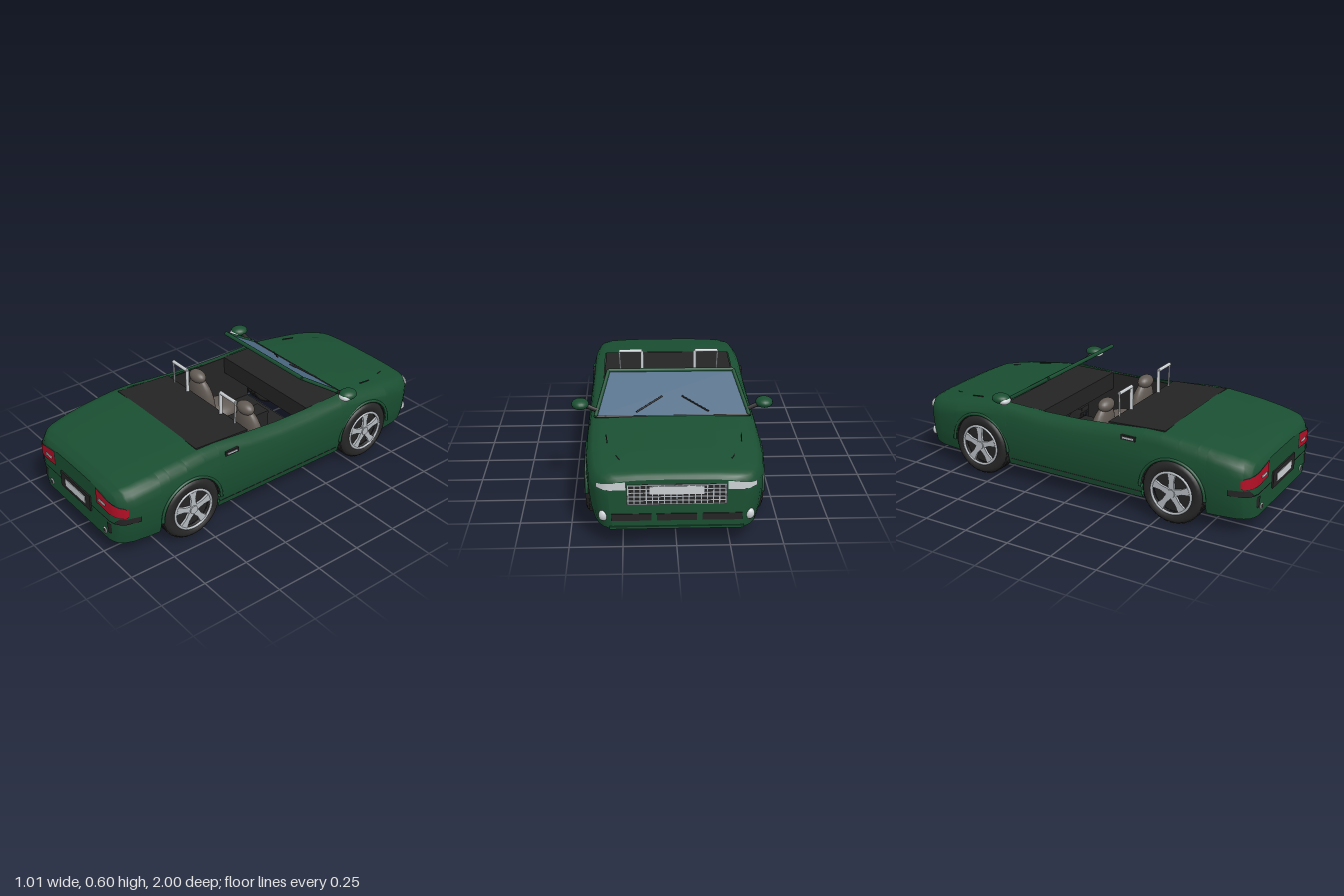
import * as THREE from 'three';

const mat = (name, color, side = THREE.FrontSide) => {
  const m = new THREE.MeshStandardMaterial({ color, side });
  m.name = name;
  return m;
};
// piecewise linear lookup in a table of [key, value]
const at = (table, k) => {
  let i = 1;
  while (i < table.length - 1 && table[i][0] < k) i++;
  const [a, b] = [table[i - 1], table[i]];
  return THREE.MathUtils.clamp((k - a[0]) / (b[0] - a[0]), 0, 1) * (b[1] - a[1]) + a[1];
};
const NOSE = -.993, TAIL = .985, BASE = .09;
const topY = [[NOSE, .335], [-.985, .35], [-.95, .364], [-.8, .391], [-.6, .418], [-.45, .435], [-.2, .425], [0, .427], [.2, .44],
  [.4, .457], [.5, .457], [.7, .438], [.85, .416], [.93, .4], [.97, .375], [TAIL, .355]];
const halfW = [[NOSE, .315], [-.985, .34], [-.965, .366], [-.93, .39], [-.88, .408], [-.75, .424], [-.5, .43], [.6, .43], [.8, .42],
  [.9, .405], [.94, .388], [.965, .365], [.978, .34], [TAIL, .31]];
const sideX = [[.09, .93], [.16, .975], [.25, 1], [.32, 1], [.36, .985], [.4, .965], [.45, .94]];
const WHEEL_Z = [-.59, .58], WHEEL_Y = .168, ARCH = .175;
const bodyX = (z, y) => at(halfW, z) * at(sideX, y);

function bufferGeo(pos, idx) {
  const g = new THREE.BufferGeometry();
  g.setAttribute('position', new THREE.Float32BufferAttribute(pos, 3));
  g.setIndex(idx);
  g.computeVertexNormals();
  return g;
}

export function createModel() {
  const green = mat('green paint', 0x1a4f32, THREE.DoubleSide);
  const black = mat('black trim', 0x242424, THREE.DoubleSide);
  const rubber = mat('tyre rubber', 0x272727);
  const glass = mat('glass', 0x4c6a85, THREE.DoubleSide);
  const red = mat('red lens', 0xb40f26, THREE.DoubleSide);
  const pale = mat('pale grey', 0xcdd2d5, THREE.DoubleSide);
  const alloy = mat('alloy', 0xb4babf, THREE.DoubleSide);
  const seatMat = mat('seat fabric', 0x625a54);
  const car = new THREE.Group();
  car.name = 'convertibleCar';

  const add = (name, geo, m, x = 0, y = 0, z = 0, parent = car) => {
    const mesh = new THREE.Mesh(geo, m);
    mesh.name = name;
    mesh.position.set(x, y, z);
    parent.add(mesh);
    return mesh;
  };
  const box = (name, m, w, h, d, x, y, z, parent) => add(name, new THREE.BoxGeometry(w, h, d), m, x, y, z, parent);
  const bar = (name, m, a, b, r) => {
    const p = new THREE.Vector3(...a), q = new THREE.Vector3(...b), d = q.clone().sub(p);
    const mesh = add(name, new THREE.CylinderGeometry(r, r, d.length(), 8), m);
    mesh.position.copy(p.add(q).multiplyScalar(.5));
    mesh.quaternion.setFromUnitVectors(new THREE.Vector3(0, 1, 0), d.normalize());
    return mesh;
  };
  // thin strip following the bodywork: rows of [x, z, bottom, top], placed on side s
  const strip = (name, m, s, rows) => {
    const pos = [], idx = [];
    rows.forEach(([x, z, b, t], i) => {
      pos.push(s * x, b, z, s * x, t, z);
      if (i) idx.push(2 * i - 2, 2 * i, 2 * i - 1, 2 * i, 2 * i + 1, 2 * i - 1);
    });
    return add(name, bufferGeo(pos, idx), m);
  };

  // body shell: cross-sections along z, raised over the wheel arches
  const section = z => {
    let yb = BASE;
    for (const c of WHEEL_Z) if (Math.abs(z - c) < ARCH) yb = WHEEL_Y - .003 + Math.sqrt(ARCH ** 2 - (z - c) ** 2);
    const w = at(halfW, z), yT = at(topY, z), half = [];
    for (let j = 0; j < 8; j++) {
      const y = yb + (yT - .06 - yb) * j / 7;
      half.push([bodyX(z, y), y]);
    }
    for (const [f, d] of [[.957, .036], [.92, .017], [.83, .008], [.55, .002], [.28, 0]]) half.push([w * f, yT - d]);
    return [...half, [0, yT], ...half.slice().reverse().map(([x, y]) => [-x, y])];
  };
  const stations = [...halfW, ...topY].map(e => e[0]);
  for (const c of WHEEL_Z) {
    for (let i = 0; i <= 24; i++) stations.push(c - Math.cos(i * Math.PI / 24) * (ARCH - .0004));
    stations.push(c - ARCH - .0004, c + ARCH + .0004);
  }
  const zs = [...new Set(stations)].sort((a, b) => a - b);
  const n = 27, pos = [], idx = [];
  zs.forEach((z, s) => {
    section(z).forEach(([x, y]) => pos.push(x, y, z));
    if (!s) return;
    const open = zs[s - 1] >= -.4501 && z <= .5001;
    for (let i = 0; i < n - 1; i++) {
      if (open && i >= 10 && i < 16) continue;
      const a = (s - 1) * n + i, c = a + n;
      idx.push(a, a + 1, c + 1, a, c + 1, c);
    }
  });
  add('bodyShell', bufferGeo(pos, idx), green);
  for (const [z, name] of [[NOSE, 'nosePanel'], [TAIL, 'tailPanel']]) {
    const p = [], f = [];
    section(z).forEach(([x, y]) => p.push(x, y, z));
    for (let i = 0; i < 13; i++) {
      const m = n - 1 - i;
      f.push(...(z > 0 ? [i, i + 1, m, i + 1, m - 1, m] : [i, m, i + 1, i + 1, m, m - 1]));
    }
    add(name, bufferGeo(p, f), green);
  }

  // floor and cabin
  box('floorPan', green, .78, .012, .8, 0, .092, 0);
  box('cabinFloor', black, .72, .008, .58, 0, .103, -.1);
  box('rearBulkhead', black, .71, .33, .01, 0, .265, .185);
  box('tonneauCover', black, .705, .012, .325, 0, .44, .34).rotation.x = -.05;
  box('dashboard', black, .71, .1, .24, 0, .368, -.335);
  box('centreConsole', black, .095, .15, .33, 0, .18, -.05);
  for (const s of [-1, 1]) box('doorLining', black, .008, .31, .58, s * .357, .26, -.1);

  // wheel: tyre, rim and five spokes, facing +x
  const tyreProfile = [[.11, -.055], [.145, -.055], [.159, -.048], [.168, -.032], [.168, .032], [.159, .048], [.145, .055], [.115, .055], [.108, .03]]
    .map(([r, y]) => new THREE.Vector2(r, y));
  const spoke = new THREE.Shape([[-.018, .015], [.018, .015], [.013, .06], [.023, .108], [-.023, .108], [-.013, .06]]
    .map(p => new THREE.Vector2(...p)));
  const spokeGeo = new THREE.ExtrudeGeometry(spoke, { depth: .014, bevelEnabled: false });
  const makeWheel = () => {
    const w = new THREE.Group();
    w.name = 'wheel';
    add('tyre', new THREE.LatheGeometry(tyreProfile, 40), rubber, 0, 0, 0, w).rotation.z = -Math.PI / 2;
    for (let i = 0; i < 30; i++) {
      const a = i * Math.PI / 15;
      for (const x of [-.028, 0, .028]) {
        const t = box('treadBlock', rubber, .02, .006, .022, x, Math.cos(a) * .166, Math.sin(a) * .166, w);
        t.rotation.x = a;
      }
    }
    add('brakeDisc', new THREE.CylinderGeometry(.108, .108, .03, 32), black, .012, 0, 0, w).rotation.z = Math.PI / 2;
    add('rimRing', new THREE.TorusGeometry(.109, .007, 8, 40), alloy, .054, 0, 0, w).rotation.y = Math.PI / 2;
    for (let i = 0; i < 5; i++) {
      const arm = new THREE.Group();
      arm.name = 'spokeArm';
      arm.rotation.x = i * Math.PI * .4;
      add('spoke', spokeGeo, alloy, .043, 0, 0, arm).rotation.y = Math.PI / 2;
      w.add(arm);
    }
    add('hub', new THREE.CylinderGeometry(.022, .026, .02, 20), alloy, .052, 0, 0, w).rotation.z = -Math.PI / 2;
    return w;
  };
  for (const z of WHEEL_Z) for (const s of [-1, 1]) {
    const w = makeWheel();
    w.position.set(s * .376, WHEEL_Y, z);
    if (s < 0) w.rotation.y = Math.PI;
    car.add(w);
    add('archLip', new THREE.TorusGeometry(ARCH + .004, .008, 8, 32, Math.PI), green, s * (at(halfW, z) - .004), WHEEL_Y - .003, z).rotation.y = Math.PI / 2;
    const liner = new THREE.CylinderGeometry(ARCH + .002, ARCH + .002, .13, 28, 1, true, 0, Math.PI);
    add('wheelLiner', liner, black, s * .352, WHEEL_Y - .003, z).rotation.z = Math.PI / 2;
  }

  // windscreen, frame and wipers
  const B = [.385, .432, -.455], T = [.322, .588, -.205], flip = ([x, y, z]) => [-x, y, z];
  add('windscreen', bufferGeo([...B, ...flip(B), ...flip(T), ...T], [0, 1, 2, 0, 2, 3]), glass);
  bar('screenHeader', green, T, flip(T), .011);
  bar('screenBase', black, B, flip(B), .006);
  for (const s of [-1, 1]) {
    bar('screenPillar', green, [s * B[0], B[1], B[2]], [s * T[0], T[1], T[2]], .01);
    bar('wiper', black, [s * .18, .45, -.44], [s * .05, .502, -.358], .004);

    // door mirror
    add('mirrorShell', new THREE.SphereGeometry(1, 20, 14), green, s * .462, .485, -.41).scale.set(.044, .027, .05);
    const face = add('mirrorGlass', new THREE.SphereGeometry(1, 20, 10), pale, s * .464, .477, -.385);
    face.scale.set(.036, .021, .03);
    bar('mirrorArm', black, [s * .37, .45, -.42], [s * .435, .476, -.41], .012);

    // roll hoop
    const hoop = [[.146, .43], [.146, .564], [.272, .564], [.265, .43]];
    for (let i = 0; i < 3; i++) bar('rollHoop', pale, [s * hoop[i][0], hoop[i][1], .192], [s * hoop[i + 1][0], hoop[i + 1][1], .192], i < 2 ? .0095 : .005);

    // seat
    const ball = (name, y, z, a, b, c, tilt = 0) => {
      const m = add(name, new THREE.SphereGeometry(1, 24, 16), seatMat, s * .21, y, z);
      m.scale.set(a, b, c);
      m.rotation.x = tilt;
    };
    ball('seatCushion', .2, -.06, .1, .06, .125);
    ball('seatBack', .31, .05, .1, .155, .048, .18);
    ball('headrest', .462, .078, .058, .036, .038);

    // tail lamp, wrapping onto the corner
    strip('tailLamp', red, s, [[.2, .99, .267, .345], [.312, .99, .262, .328], [.343, .983, .26, .321], [.37, .968, .258, .314], [.393, .944, .257, .309], [.397, .93, .262, .305]]);
    strip('tailLampSurround', black, s, [[.196, .988, .262, .35], [.311, .988, .257, .333], [.341, .981, .255, .326], [.368, .966, .253, .319], [.391, .942, .252, .314]]);
    box('reverseLamp', pale, .055, .012, .004, s * .253, .295, .992);
    // bumper seam, vent and exhaust
    strip('bumperSeam', black, s, [[.14, .988, .211, .216], [.311, .988, .212, .217], [.343, .981, .213, .22], [.369, .966, .215, .25], [.392, .941, .218, .25], [.414, .87, .22, .25]]);
    strip('bumperVent', black, s, [[.285, .989, .19, .2], [.295, .989, .14, .2], [.313, .988, .14, .2], [.32, .985, .15, .2]]);
    add('exhaustPipe', new THREE.TorusGeometry(.013, .004, 8, 20), pale, s * .257, .13, .987);
    add('exhaustBore', new THREE.CylinderGeometry(.012, .012, .004, 16), black, s * .257, .13, .988).rotation.x = Math.PI / 2;

    // headlamp and fog lamp
    strip('headlamp', pale, s, [[.235, -.998, .286, .326], [.316, -.998, .286, .322], [.344, -.988, .288, .318], [.37, -.968, .292, .316]]);
    add('fogLamp', new THREE.SphereGeometry(1, 16, 12), pale, s * .338, .15, -.972).scale.set(.024, .028, .02);

    // bonnet creases
    for (const [x, z, len] of [[.325, -.67, .075], [.27, -.84, .04]])
      box('bonnetCrease', black, .004, .006, len, s * x, at(topY, z) - .005, z).rotation.set(-.14, s * (x > .3 ? .1 : .4), 0);

    // door handle and sill seam
    box('doorHandle', black, .02, .024, .08, s * (bodyX(.33, .4) - .002), .402, .33);
    box('handleLever', alloy, .006, .009, .06, s * (bodyX(.33, .4) + .007), .402, .33);
    box('sill', black, .006, .004, .8, s * (bodyX(0, .125) - .001), .125, 0);
  }

  // rear number plate
  box('plateRecess', black, .28, .088, .008, 0, .22, .99);
  box('rearPlate', pale, .19, .044, .004, 0, .218, .995);

  // grille, front plate and lower intake
  box('grille', black, .46, .1, .004, 0, .262, -.996);
  for (let i = 0; i < 6; i++) box('grilleBar', alloy, .46, .005, .004, 0, .215 + i * .019, -.998);
  for (let i = 0; i < 17; i++) box('grilleSlat', alloy, .005, .098, .003, -.224 + i * .028, .262, -.998);
  box('frontPlate', pale, .25, .04, .004, 0, .285, -1);
  for (const x of [-.21, 0, .21]) box('lowerIntake', black, .185, .034, .004, x, .148, -.996);
  box('chinLip', green, .62, .012, .03, 0, .096, -.985);

  return car;
}
